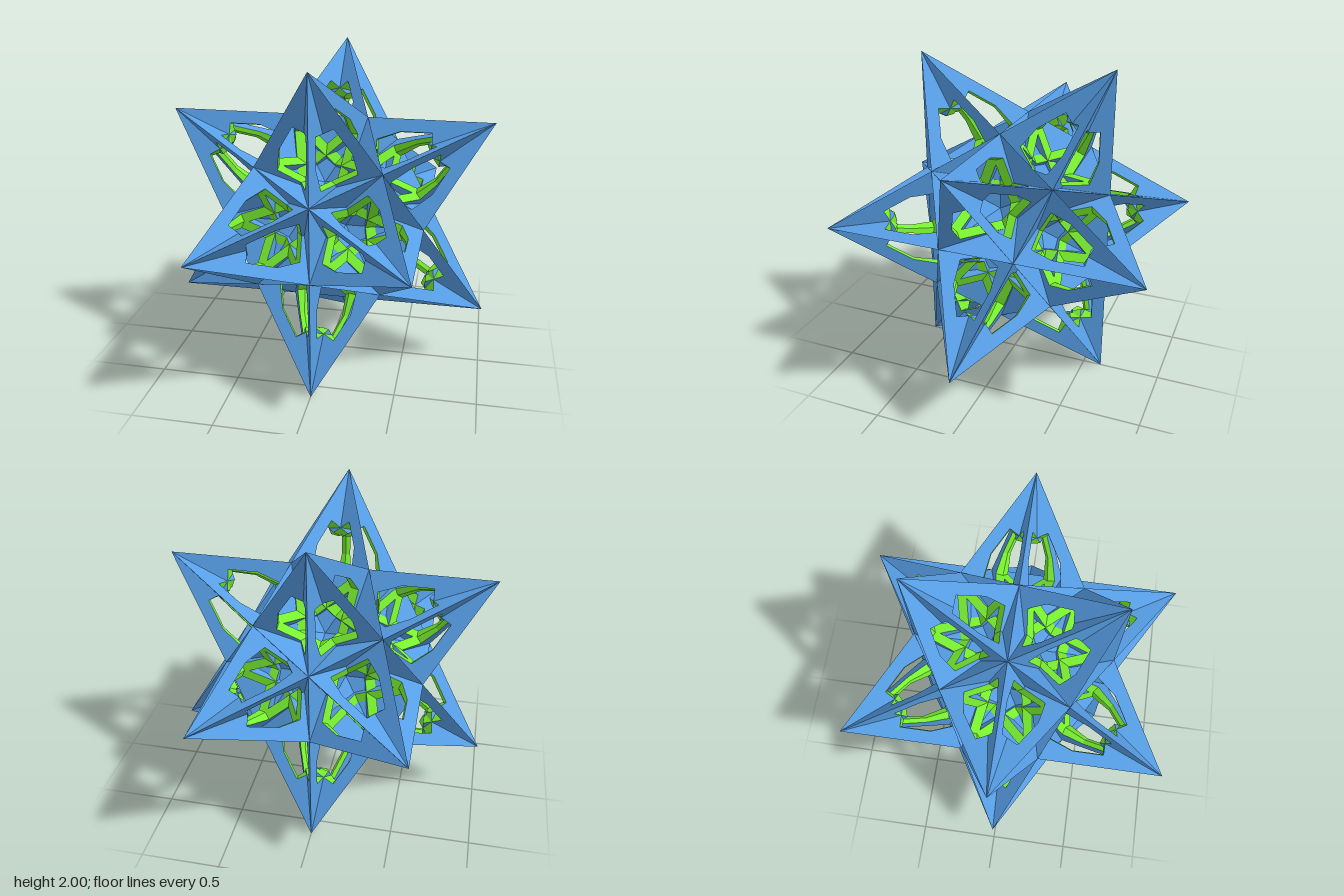
import * as THREE from 'three';

const P = (Math.sqrt(5) - 1) / 2;                    // inverse golden ratio
const T30 = Math.tan(Math.PI / 6);
const THICK = 0.06;                                  // plate thickness
const MITRE = Math.tan(Math.acos(Math.sqrt(5) / 3) / 4 * 1 + 0) && (3 - Math.sqrt(5)) / 2; // mitre slope between plates
const INSET = THICK / MITRE;                         // where the plate reaches full thickness

// Half of a corner window: x runs along the plate edge from the tip, y inward to the corner's bisector
const NEAR = 0.369, FAR = 0.71;
const cut = [[FAR, FAR * T30], [0.701, INSET], [0.7, 0.13], [0.56, 0.078],
  [NEAR, 0.078], [NEAR, INSET], [NEAR, NEAR * T30]];
// One sixth of a plate: outer face, and the two parts of its inner face
const outer = [[0, 0], [1, 0], [1, T30], ...cut];
const inner = [
  [[INSET / T30, INSET], [NEAR, INSET], [NEAR, NEAR * T30]],
  [[0.701, INSET], [1, INSET], [1, T30], [FAR, FAR * T30]],
];

function triangulate(polygon) {
  const points = polygon.map(([x, y]) => new THREE.Vector2(x, y));
  return THREE.ShapeUtils.triangulateShape(points, []).map(t => t.map(i => polygon[i]));
}
const outerTriangles = triangulate(outer);
const innerTriangles = inner.flatMap(triangulate);

// The twelve tips of the star
function starTips() {
  const out = [];
  for (const s of [1, -1]) for (const t of [P, -P]) {
    out.push(new THREE.Vector3(s, t, 0), new THREE.Vector3(0, s, t), new THREE.Vector3(t, 0, s));
  }
  return out;
}

function meshFrom(name, points, color) {
  const geometry = new THREE.BufferGeometry().setFromPoints(points);
  geometry.computeVertexNormals();
  const mesh = new THREE.Mesh(geometry, new THREE.MeshStandardMaterial({ color, flatShading: true }));
  mesh.name = name;
  return mesh;
}

export function createModel() {
  const tips = starTips();
  const joined = (a, b) => Math.abs(a.distanceTo(b) - 2) < 0.01;
  const faces = [], walls = [];

  // Every ordered triple of joined tips gives one sixth of a large triangular plate
  for (const a of tips) for (const b of tips) for (const c of tips) {
    if (!joined(a, b) || !joined(b, c) || !joined(c, a)) continue;
    const normal = a.clone().add(b).add(c).normalize();
    const along = b.clone().sub(a).normalize();
    const inward = c.clone().sub(a.clone().lerp(b, 0.5)).normalize();
    const mirrored = along.clone().cross(inward).dot(normal) < 0;
    const place = ([x, y], depth = 0) => a.clone().addScaledVector(along, x)
      .addScaledVector(inward, y).addScaledVector(normal, -depth);
    const depthAt = ([, y]) => Math.min(THICK, y * MITRE);
    const add = (list, p, q, r) => list.push(...(mirrored ? [p, r, q] : [p, q, r]));

    // Outer and inner faces
    for (const [p, q, r] of outerTriangles) add(faces, place(p), place(q), place(r));
    for (const [p, q, r] of innerTriangles) {
      add(faces, place(p, THICK), place(r, THICK), place(q, THICK));
    }
    // Cut sides of the window, tapering towards the mitred edge
    for (let i = 0; i + 1 < cut.length; i++) {
      const p = cut[i], q = cut[i + 1];
      const p1 = place(p, depthAt(p)), q1 = place(q, depthAt(q));
      add(walls, p1, q1, place(q));
      add(walls, p1, place(q), place(p));
    }
  }

  const star = new THREE.Group();
  star.name = 'star';
  star.position.y = 1;
  star.add(meshFrom('plates', faces, 0x58a0e8), meshFrom('windowSides', walls, 0x78f030));
  const model = new THREE.Group();
  model.name = 'openStar';
  model.add(star);
  return model;
}
